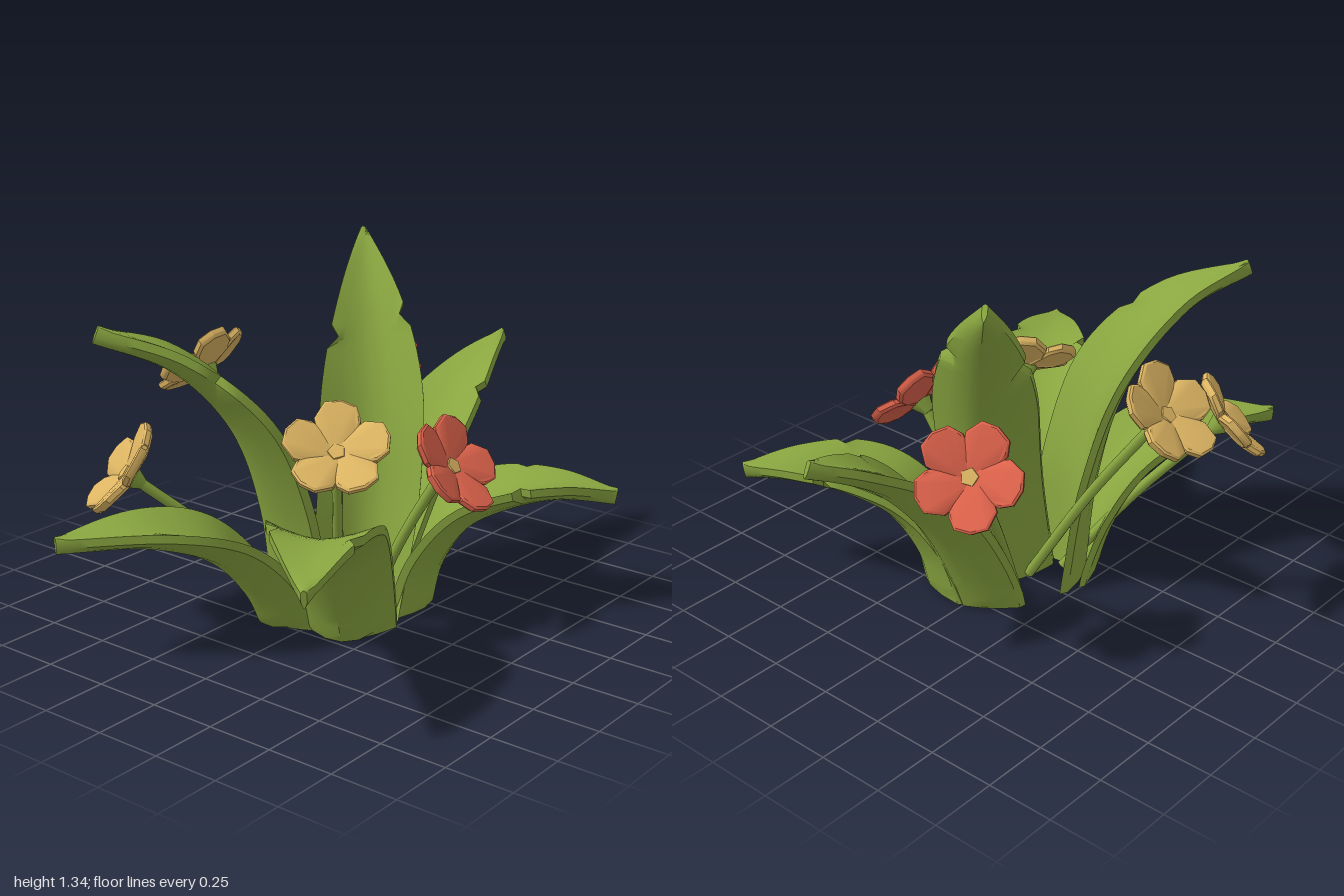
import * as THREE from 'three';
import { toCreasedNormals } from 'three/addons/utils/BufferGeometryUtils.js';

const mat = (name, color, side = THREE.FrontSide) => {
  const m = new THREE.MeshStandardMaterial({ color, side });
  m.name = name;
  return m;
};
const vec = (p) => new THREE.Vector3(...p);

// Half width along a leaf: steady at the base, fullest in the middle, pointed at the tip
function leafWidth(t, max) {
  if (t < 0.5) return max * THREE.MathUtils.lerp(0.9, 1, Math.sin((t / 0.5) * Math.PI / 2));
  const k = (t - 0.5) / 0.5;
  return max * (0.05 + 0.95 * (1 - Math.pow(k, 1.7)));
}

// Thick channelled blade swept along a curve, with small V nicks in its edges
function leafGeometry({ path, width, nicks, tipCup = 0.25 }) {
  const curve = new THREE.CatmullRomCurve3(path.map(vec));
  const dir = vec(path.at(-1)).sub(vec(path[0])).setY(0).normalize();
  const side = new THREE.Vector3(0, 1, 0).cross(dir);
  const us = [-1, -0.66, -0.33, 0, 0.33, 0.66, 1];
  const rings = 32, m = us.length * 2, pos = [], idx = [];
  for (let i = 0; i <= rings; i++) {
    const t = i / rings;
    const c = curve.getPointAt(t);
    const n = curve.getTangentAt(t).cross(side).normalize();
    const w = leafWidth(t, width);
    const cup = THREE.MathUtils.lerp(0.7, tipCup, Math.min(1, t * 1.3));
    const put = (u, lower) => {
      const nick = nicks.some(([s, at]) => s * u > 0.9 && Math.round(at * rings) === i);
      const x = u * w * (nick ? 0.78 : 1);
      const skin = lower ? -0.045 + 0.022 * u * u : 0.02 - 0.012 * u * u;
      const h = cup * w * (Math.pow(Math.abs(u), 1.6) - 0.5) + skin;
      const p = c.clone().addScaledVector(side, x).addScaledVector(n, h);
      pos.push(p.x, i === 0 ? 0 : Math.max(0, p.y), p.z);
    };
    us.forEach((u) => put(u, false));
    [...us].reverse().forEach((u) => put(u, true));
  }
  for (let i = 0; i < rings; i++) {
    for (let j = 0; j < m; j++) {
      const a = i * m + j, c = i * m + ((j + 1) % m);
      idx.push(a, a + m, c, c, a + m, c + m);
    }
  }
  // End caps, strip by strip between the upper and lower faces
  const last = rings * m;
  for (let j = 0; j < us.length - 1; j++) {
    const a = j, b = j + 1, c = m - 2 - j, d = m - 1 - j;
    idx.push(a, b, c, a, c, d);
    idx.push(last + a, last + c, last + b, last + a, last + d, last + c);
  }
  const g = new THREE.BufferGeometry();
  g.setAttribute('position', new THREE.Float32BufferAttribute(pos, 3));
  g.setIndex(idx);
  return toCreasedNormals(g, 0.7);
}

// One petal, curling slightly forward with distance from the centre
function petalGeometry() {
  const s = new THREE.Shape([
    [-0.018, 0], [0.018, 0], [0.066, 0.085], [0.077, 0.12], [0.062, 0.165],
    [0.01, 0.186], [-0.045, 0.178], [-0.077, 0.125], [-0.066, 0.085],
  ].map(([x, y]) => new THREE.Vector2(x, y)));
  const g = new THREE.ExtrudeGeometry(s, {
    depth: 0.018, bevelEnabled: true, bevelThickness: 0.008, bevelSize: 0.008,
    bevelOffset: -0.004, bevelSegments: 1,
  });
  const p = g.attributes.position;
  for (let i = 0; i < p.count; i++) {
    const x = p.getX(i), y = p.getY(i);
    p.setZ(i, p.getZ(i) + 1.3 * (x * x + y * y) - 0.014);
  }
  return toCreasedNormals(g, 0.6);
}

export function createModel() {
  const model = new THREE.Group();
  model.name = 'floweringPlant';
  const green = mat('leafGreen', 0x89a640, THREE.DoubleSide);
  const yellow = mat('petalYellow', 0xdcb462);
  const red = mat('petalRed', 0xdc624b);

  const add = (parent, name, geometry, material) => {
    const mesh = new THREE.Mesh(geometry, material);
    mesh.name = name;
    parent.add(mesh);
    return mesh;
  };

  // Leaves: centre line from base to tip, half width, nicks as [side, position]
  const leaves = {
    backLeaf: {
      path: [[-0.01, 0, -0.2], [0, 0.2, -0.28], [0.01, 0.46, -0.43], [0.02, 0.66, -0.62], [0.02, 0.79, -0.82], [0.03, 0.87, -0.99]],
      width: 0.175, nicks: [[-1, 0.72]],
    },
    tallLeaf: {
      path: [[0.05, 0, 0.0], [0.05, 0.4, -0.09], [0.0, 0.75, -0.18], [-0.11, 1.06, -0.31], [-0.27, 1.33, -0.47]],
      width: 0.19, nicks: [[-1, 0.76], [1, 0.7]], tipCup: 0.5,
    },
    frontTallLeaf: {
      path: [[-0.11, 0, 0.12], [-0.13, 0.45, 0.18], [-0.17, 0.8, 0.32], [-0.29, 1.04, 0.53], [-0.46, 1.15, 0.75]],
      width: 0.18, nicks: [[1, 0.73]],
    },
    frontRightLeaf: {
      path: [[-0.12, 0, 0.18], [-0.12, 0.2, 0.3], [-0.16, 0.38, 0.48], [-0.27, 0.47, 0.72], [-0.46, 0.46, 0.985]],
      width: 0.18, nicks: [],
    },
    frontLeftLeaf: {
      path: [[0.12, 0, 0.13], [0.16, 0.2, 0.22], [0.24, 0.42, 0.37], [0.37, 0.56, 0.58], [0.5, 0.59, 0.78], [0.63, 0.55, 0.98]],
      width: 0.2, nicks: [[1, 0.76], [-1, 0.68]],
    },
    backLeftLeaf: {
      path: [[0.14, 0, -0.2], [0.18, 0.2, -0.24], [0.29, 0.38, -0.32], [0.44, 0.46, -0.42], [0.6, 0.48, -0.54], [0.77, 0.45, -0.65]],
      width: 0.18, nicks: [[1, 0.7], [-1, 0.66]],
    },
  };
  for (const [name, leaf] of Object.entries(leaves)) add(model, name, leafGeometry(leaf), green);

  // Flowers: centre, facing direction, stem foot, colour
  const flowers = [
    { name: 'leftRedFlower', at: [0.42, 0.625, -0.08], face: [0.79, 0.61, -0.06], foot: [0.1, 0.02, -0.02], petals: red, spin: 0.1 },
    { name: 'backRedFlower', at: [-0.29, 0.765, -0.57], face: [-0.4, 0.54, -0.73], foot: [-0.08, 0.02, -0.1], petals: red, spin: 0.4 },
    { name: 'rightYellowFlower', at: [-0.61, 0.85, 0.06], face: [-0.7, 0.7, 0.03], foot: [-0.06, 0.02, 0], petals: yellow, spin: 0.2 },
    { name: 'lowYellowFlower', at: [-0.5, 0.585, 0.59], face: [-0.53, 0.6, 0.58], foot: [-0.12, 0.02, 0.12], petals: yellow, spin: 0 },
    { name: 'frontYellowFlower', at: [0.19, 0.72, 0.27], face: [0.38, 0.75, 0.5], foot: [0.03, 0.02, 0.06], petals: yellow, spin: 0.3 },
  ];
  const petal = petalGeometry();
  const dot = new THREE.CylinderGeometry(0.032, 0.036, 0.02, 5).rotateX(Math.PI / 2);
  const calyx = new THREE.CylinderGeometry(0.045, 0.02, 0.05, 7).rotateX(Math.PI / 2);
  const forward = new THREE.Vector3(0, 0, 1);
  for (const f of flowers) {
    const n = vec(f.face).normalize(), centre = vec(f.at), foot = vec(f.foot);
    const head = new THREE.Group();
    head.name = f.name;
    head.position.copy(centre);
    head.quaternion.setFromUnitVectors(forward, n);
    for (let i = 0; i < 5; i++) {
      add(head, 'petal', petal, f.petals).rotation.z = f.spin + (i * Math.PI * 2) / 5;
    }
    add(head, 'flowerCentre', dot, yellow).position.z = 0.013;
    add(head, 'calyx', calyx, green).position.z = -0.04;
    model.add(head);
    // Stem bending from the base up into the back of the flower
    const end = centre.clone().addScaledVector(n, -0.045);
    const mid = foot.clone().lerp(end, 0.5).add(new THREE.Vector3(0, 0.03, 0));
    const path = new THREE.CatmullRomCurve3([foot, mid, end]);
    add(model, 'stem', new THREE.TubeGeometry(path, 10, 0.02, 7), green);
  }
  return model;
}
